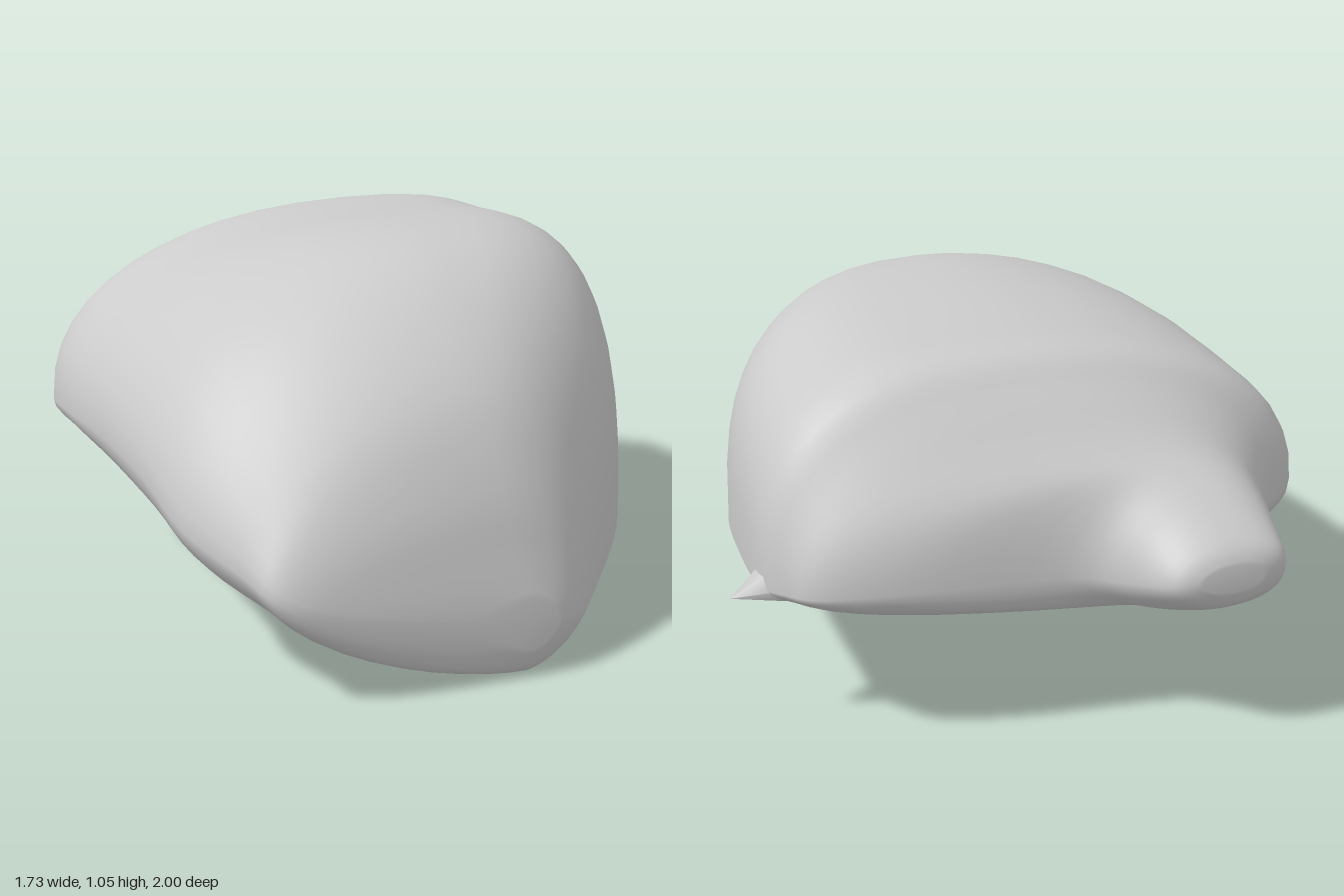
import * as THREE from 'three';

// Cross-sections from back to front:
// z, xRight(-x), xLeft(+x), top, bottom, x of top, x of bottom, y of -x edge, y of +x edge
const SECTIONS = [
  [-1.0, -0.42, -0.24, 0.55, 0.475, -0.33, -0.33, 0.515, 0.51],
  [-0.97, -0.50, -0.17, 0.60, 0.42, -0.33, -0.33, 0.51, 0.50],
  [-0.86, -0.54, -0.09, 0.68, 0.37, -0.31, -0.31, 0.49, 0.48],
  [-0.77, -0.57, 0.05, 0.735, 0.355, -0.26, -0.28, 0.48, 0.48],
  [-0.71, -0.59, 0.46, 0.775, 0.35, -0.18, -0.22, 0.48, 0.48],
  [-0.64, -0.62, 0.68, 0.835, 0.34, -0.08, -0.18, 0.48, 0.47],
  [-0.54, -0.70, 0.75, 0.93, 0.325, 0.05, -0.15, 0.49, 0.455],
  [-0.43, -0.82, 0.785, 1.01, 0.315, 0.13, -0.1, 0.50, 0.44],
  [-0.2, -0.86, 0.77, 1.02, 0.32, 0.12, -0.05, 0.52, 0.43],
  [0.1, -0.865, 0.72, 1.05, 0.21, 0.06, -0.02, 0.53, 0.40],
  [0.4, -0.86, 0.61, 1.035, 0.1, 0, 0, 0.50, 0.30],
  [0.62, -0.84, 0.48, 0.935, 0.05, -0.05, 0, 0.42, 0.21],
  [0.82, -0.76, 0.29, 0.745, 0.015, -0.08, 0, 0.35, 0.15],
  [0.93, -0.70, 0.18, 0.52, 0, -0.08, -0.01, 0.30, 0.13],
  [0.975, -0.5, 0.12, 0.34, 0.02, -0.06, -0.02, 0.24, 0.14],
  [1.0, -0.12, 0.06, 0.22, 0.08, -0.03, -0.02, 0.17, 0.15],
];
const SIDES = 48, STEPS = 4;

const catmull = (a, b, c, d, t) =>
  0.5 * (2 * b + (c - a) * t + (2 * a - 5 * b + 4 * c - d) * t * t + (3 * b - a - 3 * c + d) * t * t * t);

// Smoothly interpolated section at a fractional row index
function sectionAt(u) {
  const last = SECTIONS.length - 1;
  const i = Math.min(Math.floor(u), last - 1);
  const row = (k) => SECTIONS[Math.max(0, Math.min(last, k))];
  return row(i).map((_, k) => catmull(row(i - 1)[k], row(i)[k], row(i + 1)[k], row(i + 2)[k], u - i));
}

// Ring of four superellipse quadrants: square +x shoulder that softens at the back wall,
// a -x side that flattens toward the front, and a flatter underside
function ringPoint([z, xl, xr, top, bot, xt, xb, yl, yr], angle) {
  const c = Math.cos(angle), s = Math.sin(angle);
  const backSlope = 0.2 * Math.exp(-(((z + 0.65) / 0.13) ** 2));
  const upper = c >= 0 ? 0.62 + 0.45 * z * z + backSlope : 0.98 + 0.2 * z;
  const lower = c >= 0 ? 1.15 + 0.1 * z : 1.06 + 0.2 * z;
  const power = s >= 0 ? upper : lower;
  const cx = Math.abs(c) ** power, sy = Math.abs(s) ** power;
  const midX = s >= 0 ? xt : xb;
  const sideX = c >= 0 ? xr : xl, sideY = c >= 0 ? yr : yl;
  return [midX + (sideX - midX) * cx, sideY + ((s >= 0 ? top : bot) - sideY) * sy, z];
}

function bodyGeometry() {
  const positions = [], index = [];
  const rings = (SECTIONS.length - 1) * STEPS + 1;
  for (let i = 0; i < rings; i++) {
    const section = sectionAt(i / STEPS);
    for (let j = 0; j < SIDES; j++) positions.push(...ringPoint(section, (j / SIDES) * Math.PI * 2));
  }
  for (let i = 0; i < rings - 1; i++) {
    for (let j = 0; j < SIDES; j++) {
      const a = i * SIDES + j, b = i * SIDES + ((j + 1) % SIDES);
      index.push(a, b, b + SIDES, a, b + SIDES, a + SIDES);
    }
  }
  // Close both ends
  const back = positions.length / 3, front = back + 1, start = (rings - 1) * SIDES;
  positions.push(-0.33, 0.515, -1, -0.03, 0.15, 1);
  for (let j = 0; j < SIDES; j++) {
    const k = (j + 1) % SIDES;
    index.push(back, k, j, front, start + j, start + k);
  }
  const geometry = new THREE.BufferGeometry();
  geometry.setAttribute('position', new THREE.Float32BufferAttribute(positions, 3));
  geometry.setIndex(index);
  geometry.computeVertexNormals();
  return geometry;
}

export function createModel() {
  const group = new THREE.Group();
  group.name = 'boulder';

  const body = new THREE.Mesh(bodyGeometry(), new THREE.MeshStandardMaterial({ color: 0xcccccc }));
  body.name = 'boulderBody';
  group.add(body);

  // Small pointed chip on the side
  const chip = new THREE.Mesh(
    new THREE.ConeGeometry(0.09, 0.15, 6),
    new THREE.MeshStandardMaterial({ color: 0xcccccc }),
  );
  chip.name = 'sideSpike';
  chip.rotation.z = -Math.PI / 2 - 0.27;
  chip.scale.x = 0.75;
  chip.position.set(0.793, 0.435, -0.43);
  group.add(chip);

  return group;
}
